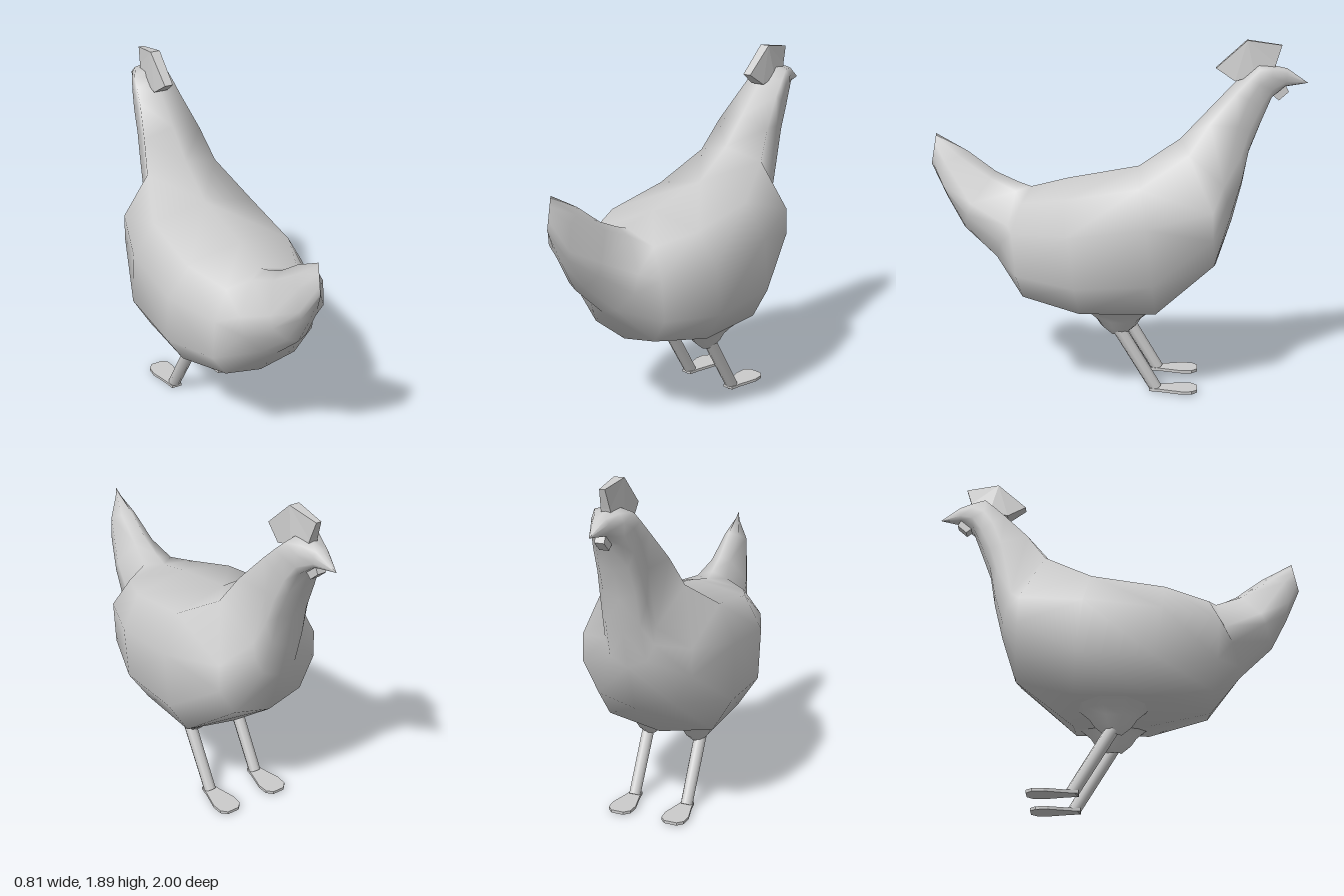
import * as THREE from 'three';

const grey = new THREE.MeshStandardMaterial({ color: 0xcccccc });

// Body rings, tail to beak: top z, top y, bottom z, bottom y, half width,
// shoulder width factor, push of the flanks along z, upper flank height
const RINGS = [
  [0.97, 1.375, 1.0, 1.21, 0, 0.5, 0],
  [0.8, 1.28, 0.92, 1.03, 0.07, 0.6, 0.09, 0.8],
  [0.65, 1.17, 0.83, 0.86, 0.125, 0.45, 0.03, 0.5],
  [0.53, 1.115, 0.65, 0.69, 0.18, 0.5, -0.02, 0.52],
  [0.46, 1.09, 0.49, 0.49, 0.3, 0.7, 0.06],
  [0.26, 1.14, 0.17, 0.42, 0.405, 0.74, 0],
  [-0.12, 1.21, -0.23, 0.42, 0.405, 0.74, -0.02],
  [-0.34, 1.36, -0.54, 0.67, 0.3, 0.7, -0.075, 0.51],
  [-0.48, 1.51, -0.62, 0.92, 0.135, 1.27, 0, 0.35],
  [-0.62, 1.66, -0.67, 1.12, 0.125, 1.02, 0, 0.6],
  [-0.69, 1.72, -0.7, 1.29, 0.115, 0.98, 0],
  [-0.74, 1.76, -0.76, 1.45, 0.105, 0.96, 0],
  [-0.81, 1.752, -0.81, 1.58, 0.085, 0.75, 0],
  [-0.89, 1.735, -0.88, 1.64, 0.045, 0.7, 0],
  [-1, 1.66, -1, 1.66, 0, 0.7, 0],
];

// Ten-sided cross-sections joined into one smooth skin
function bodyGeometry() {
  const pos = [], index = [], n = 10;
  for (const [tz, ty, bz, by, w, s, push, flank = 0.68] of RINGS) {
    const heights = [1, 0.92, flank, Math.min(0.3, flank * 0.6), 0.07, 0];
    const widths = [0, s, 1, 1, Math.min(s, 0.74), 0];
    const pushes = [0, 0.4, 1, 0.5, 0, 0];
    for (let i = 0; i < n; i++) {
      const k = i <= 5 ? i : n - i, side = i <= 5 ? 1 : -1;
      const h = heights[k];
      pos.push(side * w * widths[k], by + (ty - by) * h, bz + (tz - bz) * h + push * pushes[k]);
    }
  }
  for (let r = 0; r < RINGS.length - 1; r++) {
    for (let i = 0; i < n; i++) {
      const a = r * n + i, b = r * n + (i + 1) % n, c = a + n, d = b + n;
      // Diagonals mirror left to right, and fold inward at neck and tail
      if ((i < 5) === (r >= 6)) index.push(a, b, d, a, d, c);
      else index.push(a, b, c, b, d, c);
    }
  }
  const geo = new THREE.BufferGeometry();
  geo.setAttribute('position', new THREE.Float32BufferAttribute(pos, 3));
  geo.setIndex(index);
  geo.computeVertexNormals();
  return geo;
}

function extrude(points, depth) {
  const shape = new THREE.Shape(points.map(([x, y]) => new THREE.Vector2(x, y)));
  return new THREE.ExtrudeGeometry(shape, { depth, bevelEnabled: false });
}

// Upright plate drawn as (z, y), centred on x = 0
function plate(points, depth) {
  return extrude(points, depth).rotateY(-Math.PI / 2).translate(depth / 2, 0, 0);
}

function add(parent, name, geo) {
  const mesh = new THREE.Mesh(geo, grey);
  mesh.name = name;
  parent.add(mesh);
  return mesh;
}

function createLeg(side) {
  const leg = new THREE.Group();
  leg.name = side > 0 ? 'leftLeg' : 'rightLeg';

  // Thigh flaring into the belly
  const profile = [[0.03, 0.315], [0.07, 0.36], [0.09, 0.4], [0.125, 0.44], [0.17, 0.48]];
  const thigh = add(leg, 'thigh', new THREE.LatheGeometry(
    profile.map(([r, y]) => new THREE.Vector2(r, y)), 10));
  thigh.scale.z = 1.35;
  thigh.position.set(0.14 * side, 0, -0.02);

  // Slanted shank
  const top = new THREE.Vector3(0.155 * side, 0.36, -0.015);
  const ankle = new THREE.Vector3(0.155 * side, 0.01, -0.225);
  const dir = top.clone().sub(ankle);
  const shank = add(leg, 'shank', new THREE.CylinderGeometry(0.036, 0.034, dir.length(), 8));
  shank.position.copy(top).add(ankle).multiplyScalar(0.5);
  shank.quaternion.setFromUnitVectors(new THREE.Vector3(0, 1, 0), dir.normalize());

  // Flat paddle foot, drawn as (x, -z)
  const foot = add(leg, 'foot', extrude([
    [-0.03, 0.19], [0.03, 0.19], [0.04, 0.25], [0.068, 0.36], [0.064, 0.42],
    [0.035, 0.45], [-0.035, 0.45], [-0.064, 0.42], [-0.068, 0.36], [-0.04, 0.25],
  ], 0.016).rotateX(-Math.PI / 2));
  foot.position.x = 0.155 * side;
  return leg;
}

export function createModel() {
  const model = new THREE.Group();
  model.name = 'hen';
  add(model, 'body', bodyGeometry());

  // Comb, thinner toward the top and both ends
  const comb = plate([
    [-0.52, 1.735], [-0.62, 1.67], [-0.72, 1.7], [-0.82, 1.72], [-0.83, 1.76],
    [-0.86, 1.855], [-0.68, 1.88],
  ], 0.1);
  const p = comb.attributes.position;
  for (let i = 0; i < p.count; i++) {
    const ends = 1 - 3 * Math.abs(p.getZ(i) + 0.68);
    const height = 1 - 2.5 * Math.max(0, p.getY(i) - 1.7);
    p.setX(i, p.getX(i) * ends * height);
  }
  comb.computeVertexNormals();
  add(model, 'comb', comb);

  // Small wattle under the beak
  add(model, 'wattle', plate([
    [-0.8, 1.61], [-0.85, 1.57], [-0.9, 1.615], [-0.88, 1.655], [-0.82, 1.66],
  ], 0.05));

  for (const side of [1, -1]) model.add(createLeg(side));
  return model;
}
